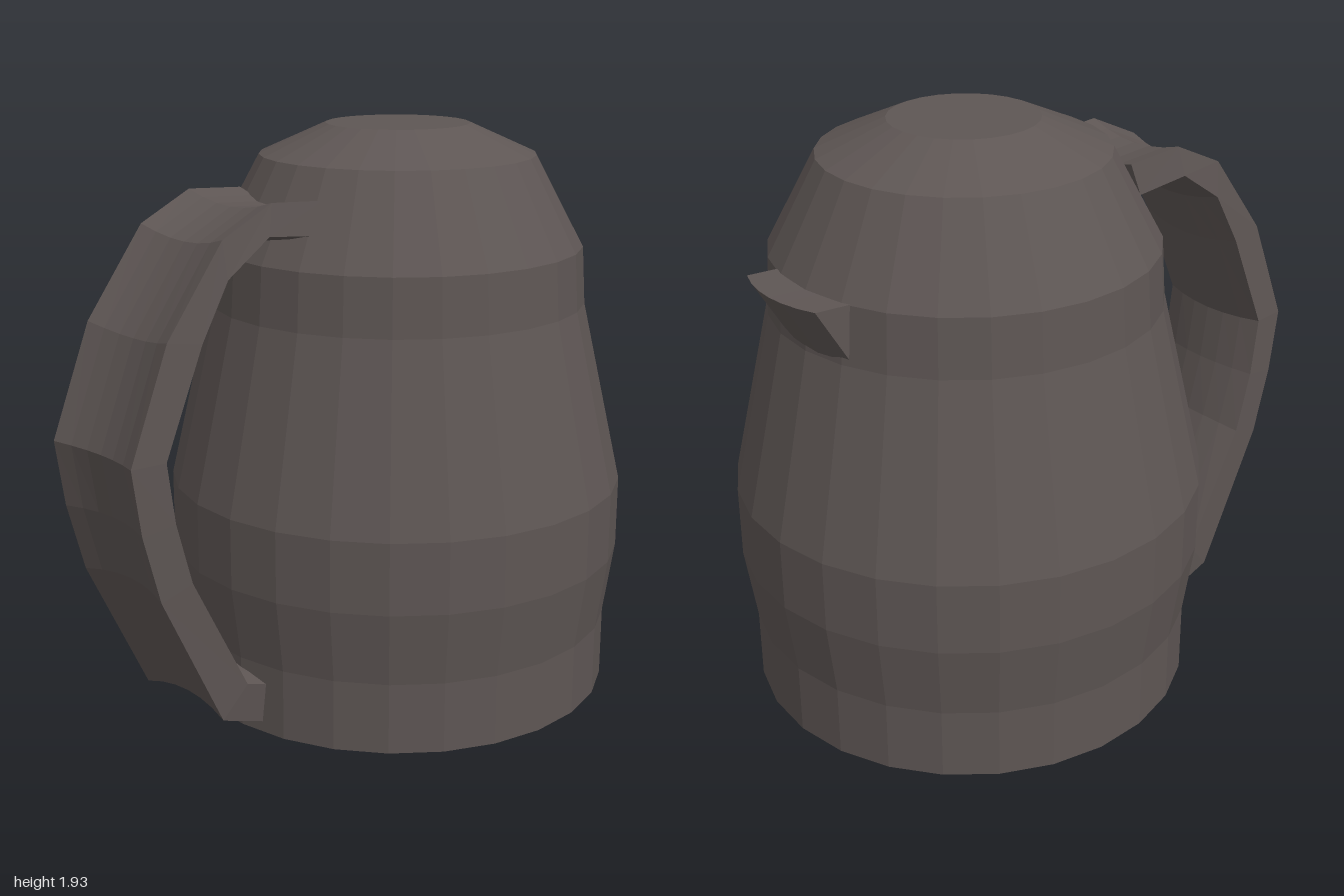
import * as THREE from 'three';

const material = new THREE.MeshStandardMaterial({ color: 0x5e5654, flatShading: true });
const BODY_Z = -0.225;
const ACROSS = 7; // points across the width of a strap

// Lofts a strap through stations of outer and inner [z, y] points.
// sag(z, y) gives the [dz, dy] shift of the middle of the strap.
function strap(stations, halfOuter, halfInner, centreX, sag) {
  const row = ([z, y], half) => {
    const [dz, dy] = sag(z, y);
    return Array.from({ length: ACROSS }, (_, i) => {
      const u = (i / (ACROSS - 1)) * 2 - 1;
      const k = 1 - u * u;
      return [centreX(y) + u * half, y + dy * k, z + dz * k];
    });
  };
  const rings = stations.map(([outer, inner]) => [
    ...row(outer, halfOuter), ...row(inner, halfInner).reverse(),
  ]);
  const n = ACROSS * 2;
  const positions = [];
  const quad = (a, b, c, d) => [a, b, c, a, c, d].forEach((p) => positions.push(...p));

  // Walls between stations
  for (let i = 0; i < rings.length - 1; i++) {
    const r = rings[i], s = rings[i + 1];
    for (let j = 0; j < n; j++) {
      const k = (j + 1) % n;
      quad(r[j], s[j], s[k], r[k]);
    }
  }
  // End caps
  const first = rings[0], last = rings[rings.length - 1];
  for (let j = 0; j < ACROSS - 1; j++) {
    quad(first[j], first[j + 1], first[n - 2 - j], first[n - 1 - j]);
    quad(last[n - 1 - j], last[n - 2 - j], last[j + 1], last[j]);
  }
  const geometry = new THREE.BufferGeometry();
  geometry.setAttribute('position', new THREE.Float32BufferAttribute(positions, 3));
  geometry.computeVertexNormals();
  return geometry;
}

export function createModel() {
  const group = new THREE.Group();
  const add = (name, geometry) => {
    const mesh = new THREE.Mesh(geometry, material);
    mesh.name = name;
    group.add(mesh);
    return mesh;
  };
  const lathe = (points) =>
    new THREE.LatheGeometry(points.map(([r, y]) => new THREE.Vector2(r, y)), 26, 0.05);

  // Jug body, closed underneath
  add('body', lathe([
    [0, 0], [0.742, 0], [0.742, 0.24], [0.777, 0.49], [0.777, 0.73],
    [0.637, 1.34], [0.625, 1.53], [0.463, 1.83],
  ])).position.z = BODY_Z;

  // Bevelled lid with a flat top
  add('lid', lathe([[0.463, 1.83], [0.24, 1.93], [0, 1.93]])).position.z = BODY_Z;

  // Broad hollow-faced handle, from top joint to bottom joint
  const handle = [
    [[0.25, 1.735], [0.28, 1.63]],
    [[0.46, 1.75], [0.48, 1.65]],
    [[0.65, 1.66], [0.64, 1.54]],
    [[0.86, 1.38], [0.74, 1.36]],
    [[1.0, 1.02], [0.88, 1.02]],
    [[0.965, 0.8], [0.85, 0.82]],
    [[0.9, 0.57], [0.79, 0.61]],
    [[0.665, 0.095], [0.575, 0.2]],
    [[0.47, 0.025], [0.47, 0.165]],
  ];
  const towardMiddle = (z, y) => {
    const d = new THREE.Vector2(0.35 - z, 0.9 - y).setLength(0.035);
    return [d.x, d.y];
  };
  add('handle', strap(handle, 0.203, 0.217, (y) => -0.078 + 0.018 * y, towardMiddle));

  // Small wedge spout at the back, rounded along its lip
  const spout = [
    [[-0.81, 1.34], [-0.76, 1.34]],
    [[-0.93, 1.54], [-0.76, 1.53]],
  ];
  add('spout', strap(spout, 0.182, 0.182, () => -0.025, () => [-0.04, 0]));

  return group;
}
